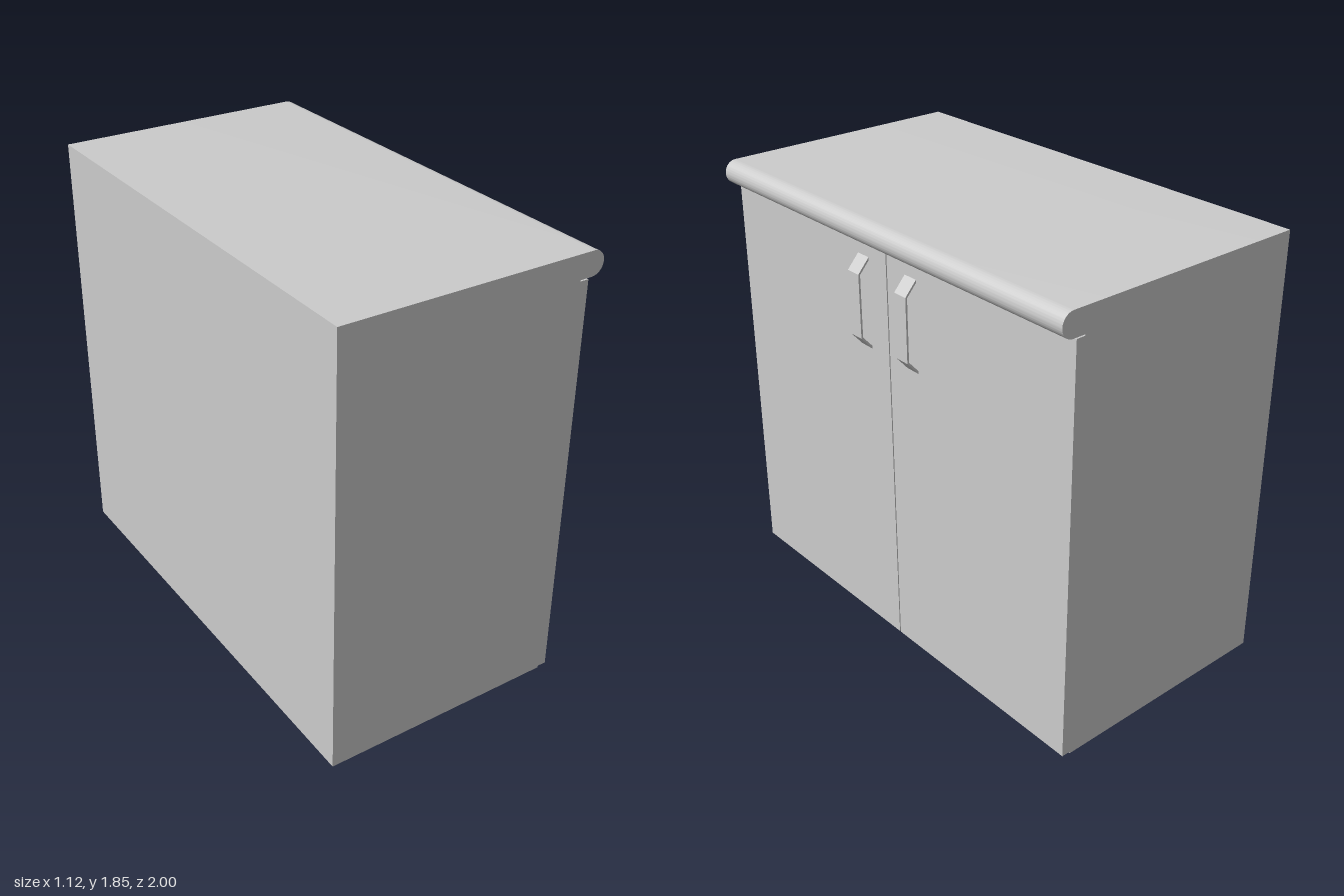
import * as THREE from 'three';
import { toCreasedNormals } from 'three/addons/utils/BufferGeometryUtils.js';

const material = new THREE.MeshStandardMaterial({ color: 0xcccccc });

function addPart(parent, name, geometry, x = 0, y = 0, z = 0) {
  const mesh = new THREE.Mesh(geometry, material);
  mesh.name = name;
  mesh.position.set(x, y, z);
  parent.add(mesh);
  return mesh;
}

// Side profile in x/y, extruded along z and centred on z = 0
function extrudeAlongZ(shape, depth) {
  const geometry = new THREE.ExtrudeGeometry(shape, { depth, bevelEnabled: false, curveSegments: 16 });
  return geometry.translate(0, 0, -depth / 2);
}

export function createModel() {
  const group = new THREE.Group();
  group.name = 'cabinet';

  const back = -0.56, bodyFront = 0.457, doorFront = 0.495;
  const bodyTop = 1.75, top = 1.85;

  // Cabinet body
  const bodyDepth = bodyFront - back;
  addPart(group, 'body', new THREE.BoxGeometry(bodyDepth, bodyTop, 2), (back + bodyFront) / 2, bodyTop / 2, 0);

  // Worktop with a rounded front edge
  const worktop = new THREE.Shape();
  worktop.moveTo(back, bodyTop);
  worktop.lineTo(0.51, bodyTop);
  worktop.absellipse(0.51, 1.8, 0.05, 0.05, -Math.PI / 2, Math.PI / 2, false, 0);
  worktop.lineTo(back, top);
  worktop.closePath();
  addPart(group, 'worktop', toCreasedNormals(extrudeAlongZ(worktop, 2), 0.5));

  // Bent strap handle
  const handle = new THREE.Shape([
    [0.494, 1.305], [0.545, 1.363], [0.545, 1.627], [0.494, 1.685],
    [0.494, 1.673], [0.537, 1.624], [0.537, 1.366], [0.494, 1.317],
  ].map(([x, y]) => new THREE.Vector2(x, y)));
  const handleGeometry = extrudeAlongZ(handle, 0.066);

  // A pair of doors, each with its handle near the middle
  const gap = 0.006, doorBottom = 0.008, doorTop = 1.745;
  const doorWidth = 1 - gap / 2;
  const doorGeometry = new THREE.BoxGeometry(doorFront - bodyFront, doorTop - doorBottom, doorWidth);
  for (const [side, label] of [[1, 'front'], [-1, 'back']]) {
    addPart(group, `${label}Door`, doorGeometry, (bodyFront + doorFront) / 2,
      (doorBottom + doorTop) / 2, side * (gap + doorWidth) / 2);
    addPart(group, `${label}DoorHandle`, handleGeometry, 0, 0, side * 0.143);
  }

  return group;
}
